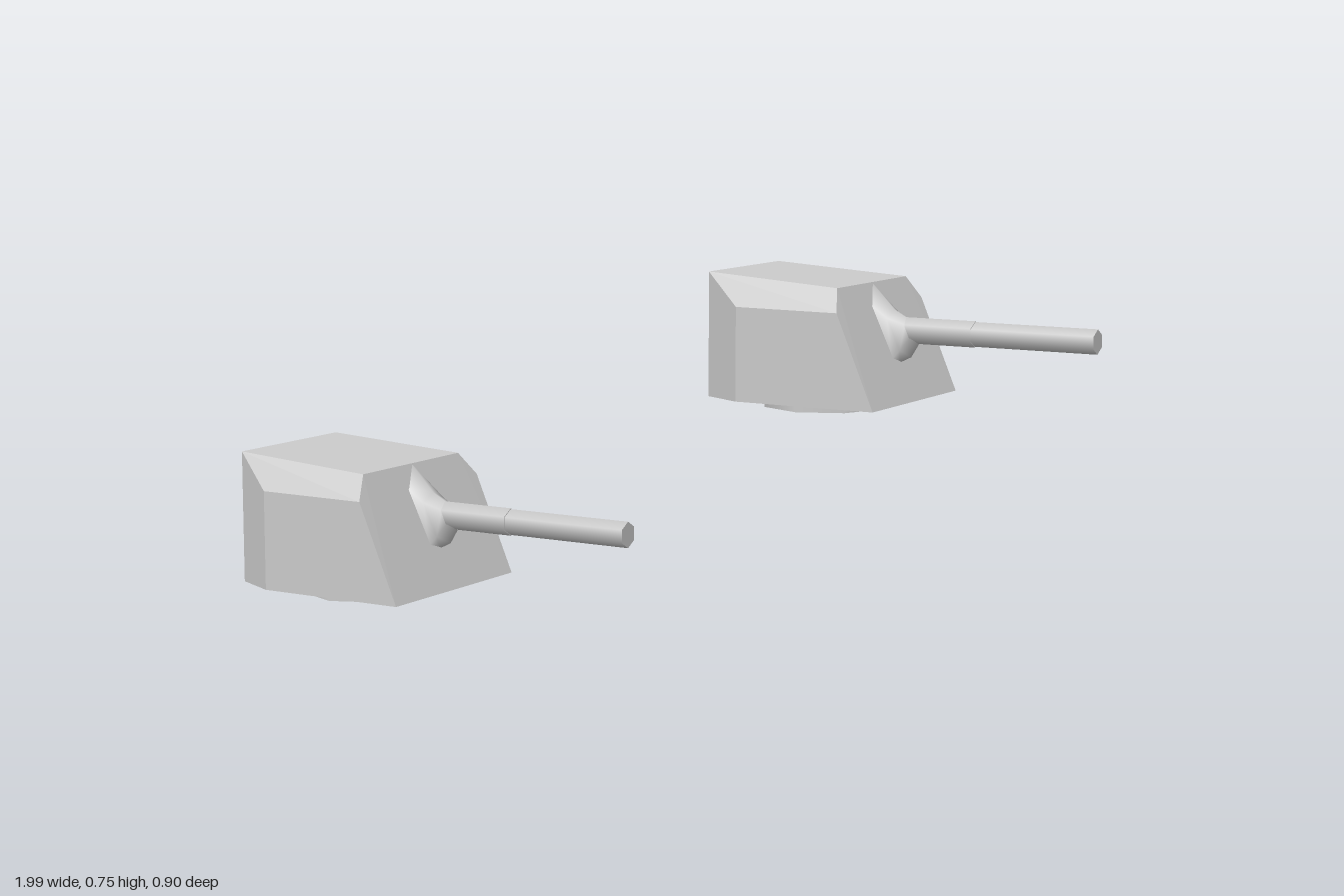
import * as THREE from 'three';
import { ConvexGeometry } from 'three/addons/geometries/ConvexGeometry.js';

const smooth = new THREE.MeshStandardMaterial({ color: 0xcccccc });
const flat = new THREE.MeshStandardMaterial({ color: 0xcccccc, flatShading: true });
const openMat = new THREE.MeshStandardMaterial({ color: 0xcccccc, side: THREE.DoubleSide });

function addPart(group, name, geometry, material) {
  const mesh = new THREE.Mesh(geometry, material);
  mesh.name = name;
  group.add(mesh);
  return mesh;
}

// Hexagonal tube running forward from z0 to z1
function barrelGeometry(radius, z0, z1) {
  return new THREE.CylinderGeometry(radius, radius, z1 - z0, 6)
    .rotateX(Math.PI / 2)
    .translate(0, 0.206, (z0 + z1) / 2);
}

// Wedge-shaped armoured body: one half's corners, mirrored
function hullGeometry() {
  const half = [
    [0.24, 0.027, 0.256], [0.24, 0.266, 0.154], [0.193, 0.323, 0.131],
    [0.24, 0.027, -0.13], [0.24, 0.267, -0.13],
    [0.185, 0.027, -0.24], [0.185, 0.347, -0.24],
  ];
  const points = [];
  for (const [x, y, z] of half) {
    points.push(new THREE.Vector3(x, y, z), new THREE.Vector3(-x, y, z));
  }
  return new ConvexGeometry(points);
}

// Gun collar: symmetric six-point rings lofted from the sloped front to the barrel
function mantletGeometry() {
  // each ring: top, upper side, lower side, bottom
  const rings = [
    [[0, 0.323, 0.129], [0.047, 0.272, 0.148], [0.036, 0.132, 0.205], [0, 0.123, 0.212]],
    [[0, 0.258, 0.193], [0.042, 0.238, 0.195], [0.036, 0.158, 0.228], [0, 0.138, 0.243]],
    [[0, 0.237, 0.232], [0.028, 0.222, 0.238], [0.028, 0.19, 0.252], [0, 0.172, 0.264]],
  ];
  const positions = [], index = [];
  for (const [top, upper, lower, bottom] of rings) {
    const mirror = ([x, y, z]) => [-x, y, z];
    positions.push(...top, ...mirror(upper), ...mirror(lower), ...bottom, ...lower, ...upper);
  }
  for (let i = 0; i < rings.length - 1; i++) {
    for (let j = 0; j < 6; j++) {
      const a = i * 6 + j, b = i * 6 + (j + 1) % 6;
      index.push(a, b, a + 6, b, b + 6, a + 6);
    }
  }
  const geometry = new THREE.BufferGeometry();
  geometry.setAttribute('position', new THREE.Float32BufferAttribute(positions, 3));
  geometry.setIndex(index);
  geometry.computeVertexNormals();
  return geometry;
}

function createTurret(name) {
  const turret = new THREE.Group();
  turret.name = name;
  // open ring the turret turns on
  addPart(turret, 'baseRing',
    new THREE.CylinderGeometry(0.163, 0.163, 0.028, 8, 1, true).translate(0, 0.014, 0), openMat);
  addPart(turret, 'hull', hullGeometry(), flat);
  addPart(turret, 'mantlet', mantletGeometry(), openMat);
  addPart(turret, 'barrelSleeve', barrelGeometry(0.033, 0.15, 0.418), smooth);
  addPart(turret, 'barrel', barrelGeometry(0.031, 0.15, 0.743), smooth);
  return turret;
}

export function createModel() {
  const model = new THREE.Group();
  model.name = 'turretPair';
  // two identical turrets, the left one raised, both turned the same way
  for (const [name, x, y] of [['rightTurret', -0.707, 0], ['leftTurret', 0.5, 0.4]]) {
    const turret = createTurret(name);
    turret.position.set(x, y, -0.145);
    turret.rotation.y = THREE.MathUtils.degToRad(39.2);
    model.add(turret);
  }
  return model;
}
